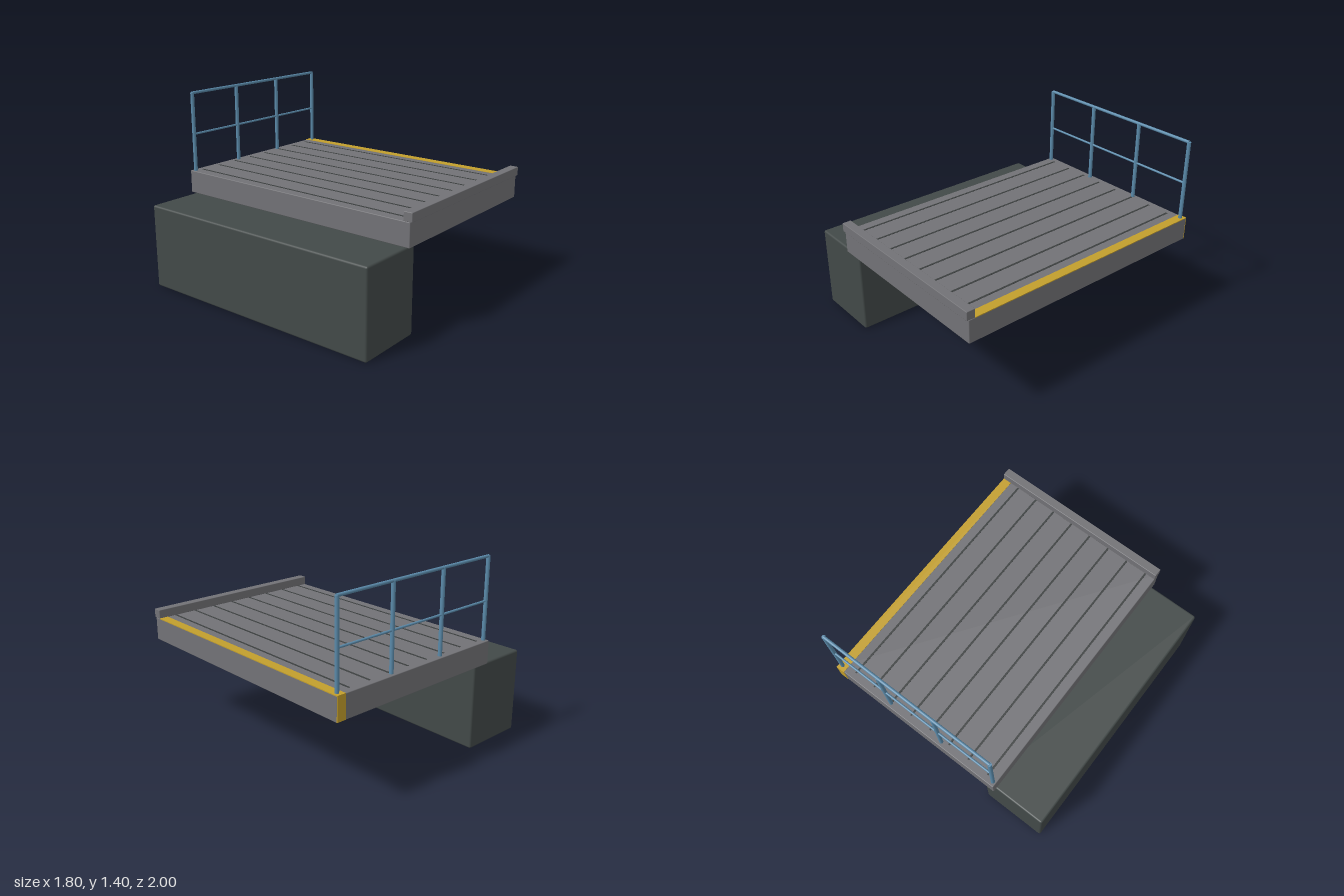
import * as THREE from 'three';
import { RoundedBoxGeometry } from 'three/addons/geometries/RoundedBoxGeometry.js';

const material = (name, color) => {
  const m = new THREE.MeshStandardMaterial({ color });
  m.name = name;
  return m;
};

export function createModel() {
  const group = new THREE.Group();
  const concrete = material('deck grey', 0x727276);
  const dark = material('dark base', 0x424948);
  const seamDark = material('seam grey', 0x3c4040);
  const yellow = material('warning yellow', 0xc29e2c);
  const blue = material('railing blue', 0x5a8aaa);

  const add = (name, geometry, mat, x, y, z) => {
    const mesh = new THREE.Mesh(geometry, mat);
    mesh.name = name;
    mesh.position.set(x, y, z);
    group.add(mesh);
    return mesh;
  };
  // Box given by its lower and upper corners, bevelled when r > 0
  const box = (name, mat, [x0, y0, z0], [x1, y1, z1], r = 0) => {
    const size = [x1 - x0, y1 - y0, z1 - z0];
    const geometry = r ? new RoundedBoxGeometry(...size, 2, r) : new THREE.BoxGeometry(...size);
    return add(name, geometry, mat, (x0 + x1) / 2, (y0 + y1) / 2, (z0 + z1) / 2);
  };

  // Supporting block, deck slab and front kerb
  box('supportBlock', dark, [-0.905, 0, -0.97], [-0.405, 0.625, 0.955], 0.014);
  box('deck', concrete, [-0.51, 0.63, -0.997], [0.9, 0.8, 0.985], 0.005);
  box('frontKerb', concrete, [-0.51, 0.8, 0.935], [0.9, 0.865, 1], 0.004);

  // Seams across the deck
  for (let i = 0; i < 8; i++) {
    const x = -0.43 + i * 0.17;
    box('deckSeam', seamDark, [x - 0.007, 0.798, -0.95], [x + 0.007, 0.802, 0.935]);
  }

  // Warning strip along the free edge, folded down over the back end
  box('edgeStrip', yellow, [0.833, 0.797, -1], [0.9, 0.803, 0.935]);
  box('edgeStripEnd', yellow, [0.833, 0.633, -1], [0.9, 0.798, -0.995]);

  // Railing along the back
  const railZ = -0.965;
  for (const x of [-0.486, -0.034, 0.419, 0.872]) {
    add('railingPost', new THREE.CylinderGeometry(0.014, 0.014, 0.59, 16), blue, x, 1.095, railZ);
  }
  for (const [name, y, r] of [['topRail', 1.389, 0.011], ['midRail', 1.08, 0.008]]) {
    const rail = add(name, new THREE.CylinderGeometry(r, r, 1.36, 16), blue, 0.193, y, railZ);
    rail.rotation.z = Math.PI / 2;
  }
  return group;
}
